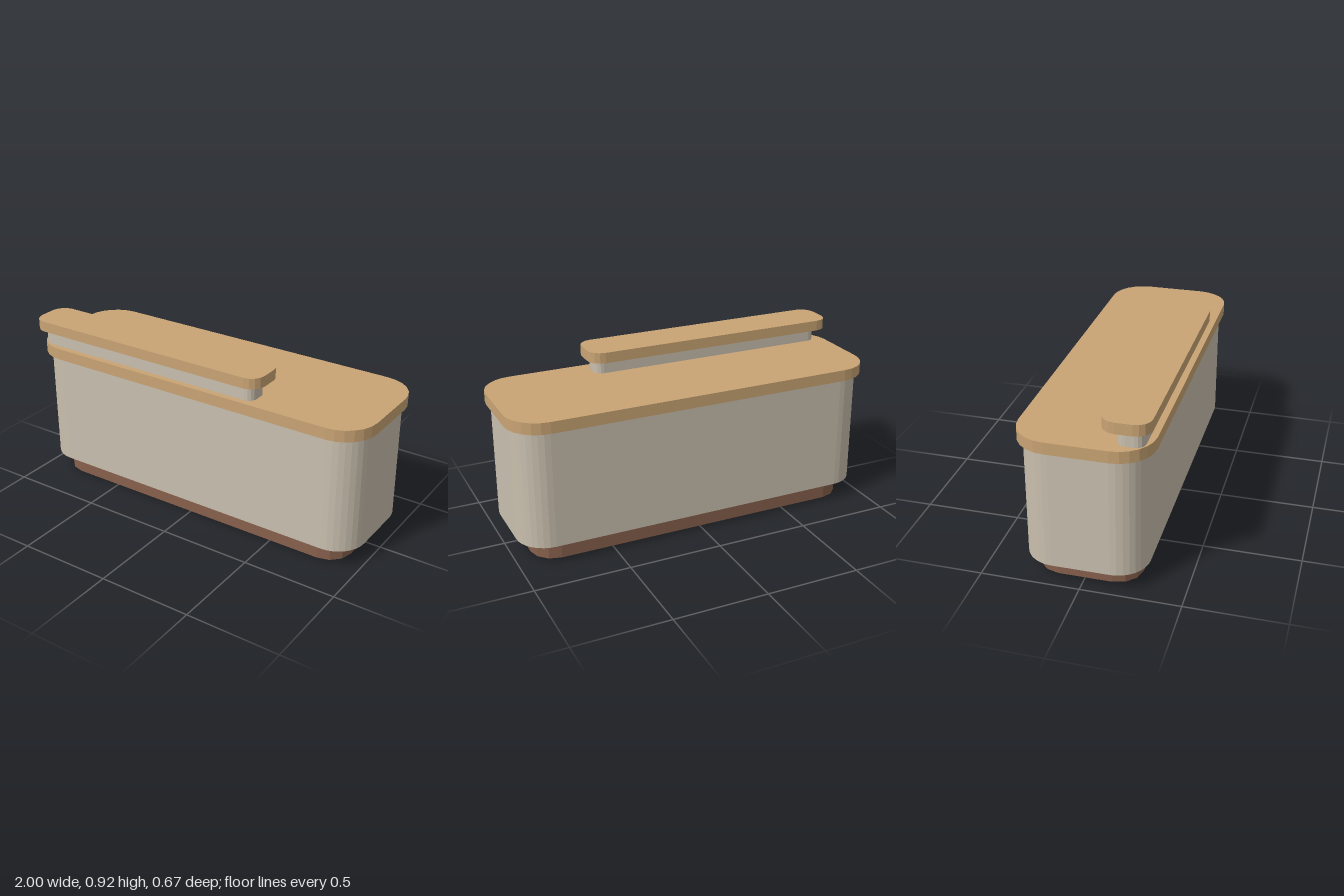
import * as THREE from 'three';

// Upright slab with rounded vertical corners, given by its extents
function slab(name, material, [x0, x1], [y0, y1], [z0, z1], radius, segments) {
  const hx = (x1 - x0) / 2, hz = (z1 - z0) / 2;
  const corners = [[1, 1], [-1, 1], [-1, -1], [1, -1]];
  const points = [];
  corners.forEach(([sx, sz], c) => {
    for (let i = 0; i <= segments; i++) {
      const a = (c + i / segments) * Math.PI / 2;
      points.push(new THREE.Vector2(
        sx * (hx - radius) + radius * Math.cos(a),
        sz * (hz - radius) + radius * Math.sin(a)));
    }
  });
  const geometry = new THREE.ExtrudeGeometry(new THREE.Shape(points), { depth: y1 - y0, bevelEnabled: false });
  geometry.rotateX(-Math.PI / 2);
  geometry.translate((x0 + x1) / 2, y0, (z0 + z1) / 2);
  const mesh = new THREE.Mesh(geometry, material);
  mesh.name = name;
  return mesh;
}

export function createModel() {
  const mat = (name, color) => {
    const m = new THREE.MeshStandardMaterial({ color });
    m.name = name;
    return m;
  };
  const wood = mat('light wood', 0xc9a474);
  const panel = mat('warm grey panel', 0xc9bfae);
  const plinth = mat('brown plinth', 0x87604c);

  const group = new THREE.Group();
  group.name = 'receptionCounter';
  group.add(
    // recessed plinth, body and worktop
    slab('plinth', plinth, [-0.903, 0.903], [0, 0.094], [-0.262, 0.262], 0.127, 3),
    slab('body', panel, [-0.975, 0.975], [0.094, 0.72], [-0.305, 0.305], 0.16, 8),
    slab('worktop', wood, [-1, 1], [0.72, 0.781], [-0.333, 0.333], 0.18, 6),
    // raised transaction shelf along the front
    slab('shelfRiser', panel, [-0.942, 0.4], [0.781, 0.861], [0.168, 0.3], 0.045, 4),
    slab('raisedShelf', wood, [-0.983, 0.445], [0.861, 0.918], [0.1, 0.333], 0.075, 4),
  );
  return group;
}
